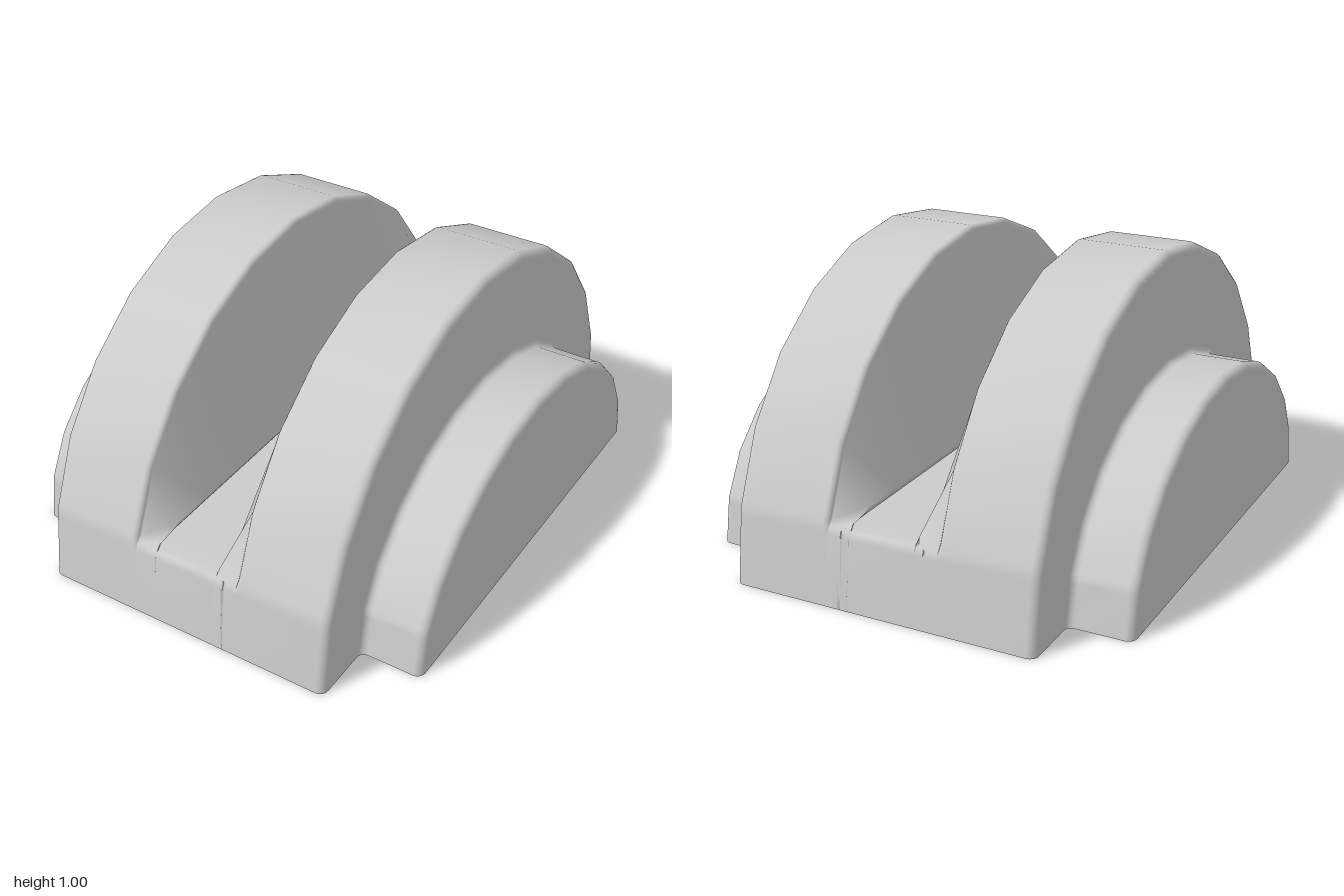
import * as THREE from 'three';

const CAP = 0.76, SLOT = 0.195, FLOOR = 0.26;

// Half of the cross profile, from the end cap (+x) to the slot floor.
// Each column: x, base radii (ry, rz), offset from them, and slot/floor data.
function halfProfile() {
  const cols = [{ x: CAP, ry: 0, rz: 0, off: 0 }];
  const arc = (cx, cOff, r, a0, a1, make) => {
    for (let i = 0; i <= 4; i++) {
      const a = THREE.MathUtils.degToRad(a0 + (a1 - a0) * i / 4);
      cols.push(make(cx + r * Math.cos(a), cOff + r * Math.sin(a)));
    }
  };
  const small = (x, off) => ({ x, ry: 0.605, rz: 0.775, off });
  const big = (x, off) => ({ x, ry: 1, rz: 1, off });
  const rim = (x, off) => ({ x, ry: 1, rz: 1, off, slot: true });
  const floor = (x, y) => ({ x, floorY: y });
  arc(0.73, -0.03, 0.03, 0, 90, small);      // end step edge
  arc(0.565, 0.025, 0.025, 270, 180, (x, off) => small(x, off)); // inside corner
  arc(0.51, -0.03, 0.03, 0, 90, big);        // main rim, outer edge
  arc(SLOT + 0.02, -0.02, 0.02, 90, 180, rim); // main rim, slot edge
  arc(SLOT - 0.04, FLOOR + 0.04, 0.04, 180, 270, floor); // slot floor corner
  return cols;
}

// Rows around the 12-sided half circle, with tight rows rounding the slot lip.
// k tells how far the slot is open at that row.
function arcRows() {
  const corner = i => [Math.cos(i * Math.PI / 12), Math.sin(i * Math.PI / 12)];
  const at = (t, k) => {
    const i = Math.min(Math.floor(t), 11), f = t - i;
    const a = corner(i), b = corner(i + 1);
    return { z: a[0] + (b[0] - a[0]) * f, y: a[1] + (b[1] - a[1]) * f, k };
  };
  const rows = [at(0, 0), at(0.9, 0), at(1, 0.4), at(1.1, 1)];
  for (let i = 2; i <= 10; i++) rows.push(at(i, 1));
  rows.push(at(10.9, 1), at(11, 0.4), at(11.1, 0), at(12, 0));
  return rows;
}

function place(c, row) {
  if (c.floorY !== undefined) {
    const s = 1 - 0.02 * row.k;
    const y = row.k === 0 ? row.y : Math.min(row.y * s, c.floorY);
    return [c.x, y, row.z * s];
  }
  const off = c.slot ? c.off * row.k : c.off;
  return [c.x, (c.ry + off) * row.y, (c.rz + off) * row.z];
}

export function createModel() {
  const half = halfProfile();
  const cols = [...half, ...half.slice().reverse().map(c => ({ ...c, x: -c.x }))];
  const rows = arcRows();
  const pos = [], index = [], n = cols.length;
  rows.forEach((row, j) => cols.forEach((c, i) => {
    pos.push(...place(c, row));
    if (j && i) {
      const d = j * n + i, b = d - 1, e = d - n, a = e - 1;
      index.push(a, b, e, b, d, e);
    }
  }));

  // Open-bottomed shell: stepped half discs with a slot between them
  const geo = new THREE.BufferGeometry();
  geo.setAttribute('position', new THREE.Float32BufferAttribute(pos, 3));
  geo.setIndex(index);
  geo.computeVertexNormals();
  const shell = new THREE.Mesh(geo, new THREE.MeshStandardMaterial({
    color: 0xcccccc, side: THREE.DoubleSide,
  }));
  shell.name = 'slottedHalfDrumShell';

  const group = new THREE.Group();
  group.name = 'slottedHalfDrum';
  group.add(shell);
  return group;
}
